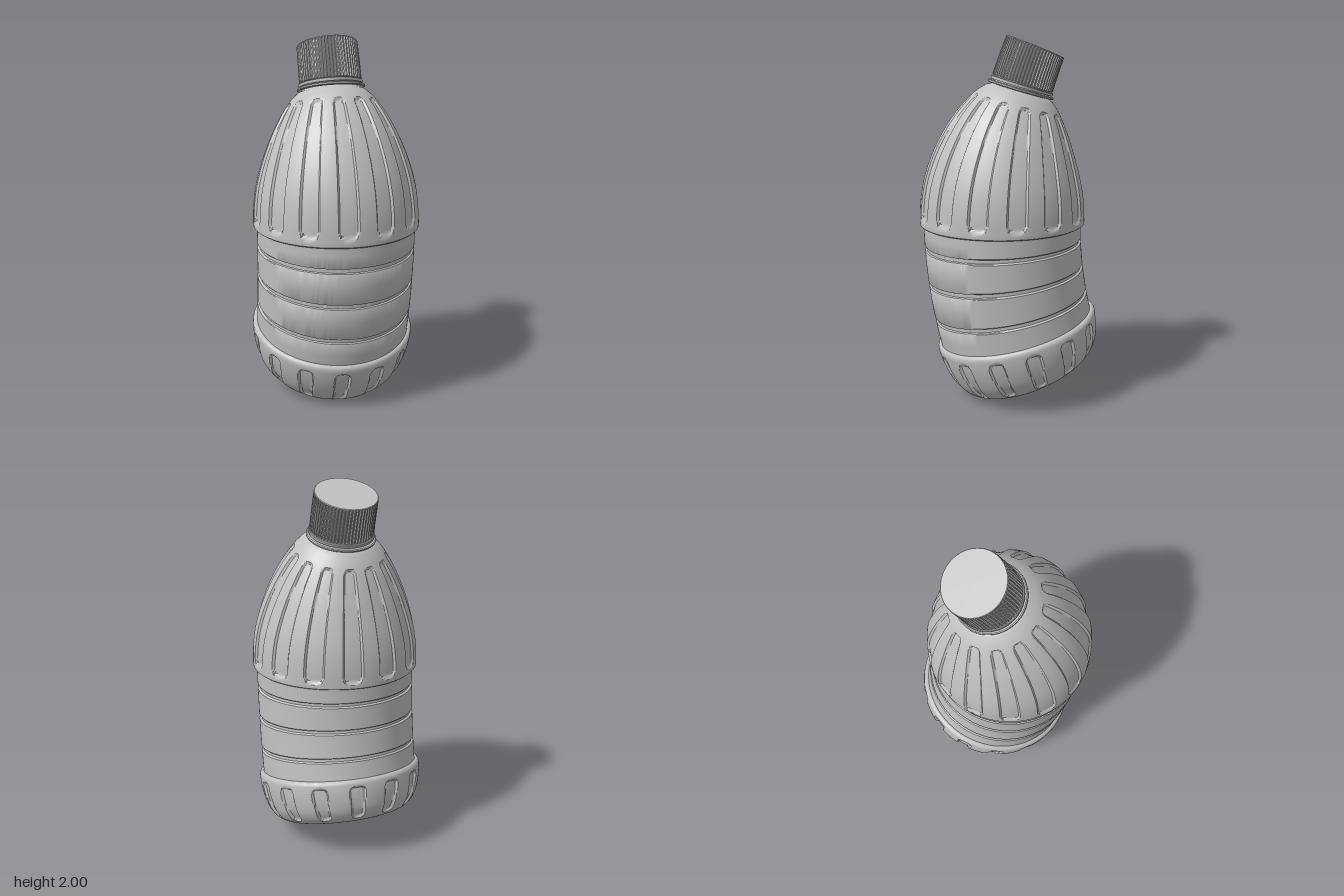
import * as THREE from 'three';
import { toCreasedNormals } from 'three/addons/utils/BufferGeometryUtils.js';

const BEND_RADIUS = 2.55;                 // the bottle's axis is an arc of this radius
const LEAN = { x: -0.72, z: -0.694 };     // horizontal direction the top leans toward
const CENTRE = { x: 0.03, y: 1, z: 0.025 };
const FLUTES = 14;
const SECTOR = (Math.PI * 2) / FLUTES;
const DEG = Math.PI / 180;

// Curl a point of the upright bottle (height s measured from the shoulder edge)
function bend(x, s, z) {
  const u = x * LEAN.x + z * LEAN.z;
  const a = s / BEND_RADIUS;
  const shift = BEND_RADIUS - (BEND_RADIUS - u) * Math.cos(a) - u;
  return [
    CENTRE.x + x + shift * LEAN.x,
    CENTRE.y + (BEND_RADIUS - u) * Math.sin(a),
    CENTRE.z + z + shift * LEAN.z,
  ];
}

// Revolve a [radius, height] profile, press in a relief along its normals, then bend
function revolve(profile, angles, relief = () => 0) {
  const n = angles.length, pos = [], index = [];
  profile.forEach(([r, s], i) => {
    const p = profile[Math.max(i - 1, 0)], q = profile[Math.min(i + 1, profile.length - 1)];
    const len = Math.hypot(q[0] - p[0], q[1] - p[1]) || 1;
    const nr = (q[1] - p[1]) / len, ns = -(q[0] - p[0]) / len;
    for (const t of angles) {
      const d = r > 0 ? relief(r, s, t) : 0;
      const rr = r - d * nr;
      pos.push(...bend(rr * Math.sin(t), s - d * ns, rr * Math.cos(t)));
    }
  });
  for (let i = 0; i < profile.length - 1; i++) {
    for (let j = 0; j < n; j++) {
      const k = (j + 1) % n;
      const a = i * n + j, b = i * n + k, c = b + n, d = a + n;
      if (profile[i][0] > 0) index.push(a, b, c);
      if (profile[i + 1][0] > 0) index.push(a, c, d);
    }
  }
  const g = new THREE.BufferGeometry();
  g.setAttribute('position', new THREE.Float32BufferAttribute(pos, 3));
  g.setIndex(index);
  return toCreasedNormals(g, 35 * DEG);
}

// Smooth curve through a few profile points
function smooth(points, count) {
  const curve = new THREE.CatmullRomCurve3(points.map(([r, s]) => new THREE.Vector3(r, s, 0)));
  return curve.getSpacedPoints(count).map((p) => [Math.max(p.x, 0), p.y]);
}

// Depth of a round-ended slot: 0 outside, full inside, with a narrow sloped wall
function slot(across, s, halfWidth, low, high, depth) {
  const corner = halfWidth * 0.75;
  const dx = Math.abs(across) - halfWidth + corner;
  const dy = Math.abs(s - (low + high) / 2) - (high - low) / 2 + corner;
  const dist = Math.hypot(Math.max(dx, 0), Math.max(dy, 0)) + Math.min(Math.max(dx, dy), 0) - corner;
  return depth * THREE.MathUtils.smoothstep(-dist, -0.001, 0.009);
}

// Angle from the middle of the nearest flute
function fluteAngle(t) {
  const k = t / SECTOR;
  return (k - Math.floor(k) - 0.5) * SECTOR;
}

function bottleRelief(r, s, t) {
  const a = fluteAngle(t);
  if (s > 0) return slot(a * r, s, 6.9 * DEG * r, 0.018, 0.645, 0.012);
  if (r > 0.335 && s < -0.64) {
    return slot(a * r, s, (5.8 + (s + 0.66) * 4) * DEG * r, -0.876, -0.655, 0.014);
  }
  // radial creases in the hollow underside, on every second land
  if (r < 0.335 && s < -0.7) {
    const k = t / (2 * SECTOR);
    const off = Math.abs(k - Math.round(k)) * 2 * SECTOR;
    return 0.012 * (1 - THREE.MathUtils.smoothstep(off * r, 0.004, 0.014))
      * (1 - THREE.MathUtils.smoothstep(r, 0.29, 0.33));
  }
  return 0;
}

function bottleProfile() {
  const pts = [
    // hollow underside, standing ring and rounded foot
    ...smooth([[0, -0.775], [0.1, -0.785], [0.19, -0.82], [0.25, -0.872], [0.295, -0.906],
      [0.34, -0.9], [0.385, -0.873], [0.42, -0.825], [0.443, -0.76], [0.456, -0.69], [0.459, -0.64]], 75),
    [0.457, -0.627], [0.451, -0.618], [0.443, -0.614], [0.436, -0.614],
  ];
  // straight body with three ring grooves
  for (const s of [-0.485, -0.305, -0.13]) {
    pts.push([0.436, s - 0.08], [0.436, s - 0.016], [0.433, s - 0.012], [0.424, s - 0.009],
      [0.424, s + 0.009], [0.433, s + 0.012], [0.436, s + 0.016]);
  }
  pts.push([0.436, -0.06], [0.436, -0.018], [0.45, -0.018], [0.455, -0.013]);
  // domed shoulder
  pts.push(...smooth([[0.456, 0], [0.452, 0.1], [0.438, 0.2], [0.412, 0.3], [0.376, 0.4],
    [0.331, 0.5], [0.274, 0.6], [0.225, 0.665], [0.185, 0.703]], 68));
  // neck
  pts.push([0.165, 0.712], [0.155, 0.718], [0.155, 0.77]);
  return pts;
}

export function createModel() {
  const group = new THREE.Group();
  const plastic = new THREE.MeshStandardMaterial({ color: 0xc0c0c0 });
  plastic.name = 'grey plastic';
  const add = (name, geometry) => {
    const mesh = new THREE.Mesh(geometry, plastic);
    mesh.name = name;
    group.add(mesh);
  };

  // Columns crowd around the slot edges so their walls stay crisp
  const half = [1.8, 3.6, 4.6, 5.2, 5.8, 6.4, 7, 7.8, 9.5, 11.2, 12.1];
  const offsets = [...half.map((v) => -v).reverse(), 0, ...half, 12.857];
  const columns = [];
  for (let i = 0; i < FLUTES; i++) {
    for (const o of offsets) columns.push((i + 0.5) * SECTOR + o * DEG);
  }
  add('bottle', revolve(bottleProfile(), columns, bottleRelief));

  const even = (count) => Array.from({ length: count }, (_, i) => (i / count) * Math.PI * 2);

  // Neck flange and the tamper band above it
  add('neckFlange', revolve([[0.15, 0.716], [0.179, 0.716], [0.184, 0.72], [0.184, 0.727],
    [0.179, 0.731], [0.15, 0.731]], even(96)));
  add('tamperBand', revolve([[0.15, 0.736], [0.172, 0.736], [0.174, 0.74], [0.174, 0.75],
    [0.171, 0.753], [0.15, 0.753]], even(96)));

  // Ribbed screw cap
  const RIBS = 60;
  const knurl = (r, s, t) => {
    if (r < 0.16 || s > 0.957 || s < 0.76) return 0;
    const k = (t / (Math.PI * 2)) * RIBS;
    return k - Math.floor(k + 0.01) > 0.45 ? 0.006 : 0;
  };
  add('cap', revolve([[0.14, 0.757], [0.168, 0.757], [0.17, 0.762], [0.169, 0.81], [0.168, 0.86],
    [0.167, 0.91], [0.166, 0.954], [0.165, 0.96], [0.162, 0.963], [0, 0.963]], even(RIBS * 4), knurl));

  return group;
}
